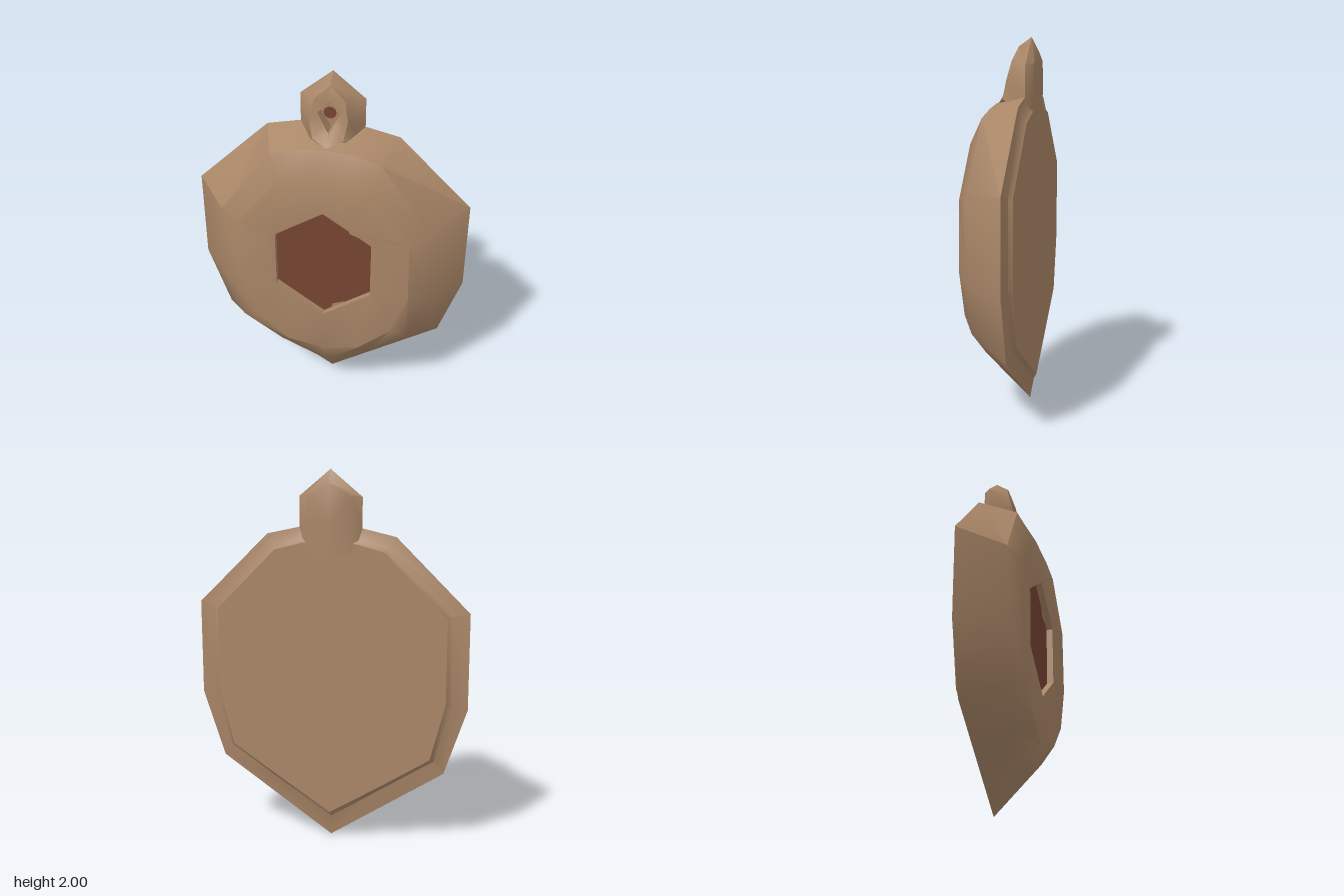
import * as THREE from 'three';
import { toCreasedNormals } from 'three/addons/utils/BufferGeometryUtils.js';

// Mirror a right-hand half contour (bottom to top) into a closed loop
const mirror = (half) => [
  ...half,
  ...half.slice(1, -1).reverse().map(([x, y, z]) => [-x, y, z]),
];
const atZ = (half, z) => half.map(([x, y]) => [x, y, z]);

// Skin a list of half contours from back to front, closing both ends with fans
function loft(halves, crease) {
  const rings = halves.map(mirror);
  const n = rings[0].length;
  const pos = rings.flat(2);
  const index = [];
  for (let r = 0; r < rings.length - 1; r++) {
    for (let i = 0; i < n; i++) {
      const a = r * n + i, b = r * n + ((i + 1) % n);
      index.push(a, b, b + n, a, b + n, a + n);
    }
  }
  [0, rings.length - 1].forEach((r) => {
    const c = pos.length / 3;
    const mean = (k) => rings[r].reduce((s, p) => s + p[k], 0) / n;
    pos.push(0, mean(1), mean(2));
    for (let i = 0; i < n; i++) {
      const a = r * n + i, b = r * n + ((i + 1) % n);
      if (r === 0) index.push(c, b, a);
      else index.push(c, a, b);
    }
  });
  const g = new THREE.BufferGeometry();
  g.setAttribute('position', new THREE.Float32BufferAttribute(pos, 3));
  g.setIndex(index);
  return toCreasedNormals(g, crease);
}

const flat = (pts) =>
  new THREE.ShapeGeometry(new THREE.Shape(pts.map(([x, y]) => new THREE.Vector2(x, y))));

export function createModel() {
  const group = new THREE.Group();
  const bronze = new THREE.MeshStandardMaterial({ color: 0xa98667 });
  bronze.name = 'bronze';
  const garnet = new THREE.MeshStandardMaterial({ color: 0x764432 });
  garnet.name = 'garnet';

  const add = (name, geometry, material, z = 0) => {
    const m = new THREE.Mesh(geometry, material);
    m.name = name;
    m.position.z = z;
    group.add(m);
  };

  // Pendant body: raised back plate, rim, sloped flank, front face, gem recess
  const plate = [[0, .14], [.28, .315], [.55, .49], [.63, .8], [.63, 1.25], [.3, 1.58], [.15, 1.62], [0, 1.63]];
  const foot = [[0, .11], [.285, .295], [.57, .48], [.65, .79], [.65, 1.26], [.31, 1.6], [.155, 1.64], [0, 1.65]];
  const rim = [[0, 0], [.31, .205], [.62, .41], [.74, .77], [.74, 1.28], [.35, 1.66], [.17, 1.7], [0, 1.72]];
  const shoulder = [[0, .2, .05], [.26, .34, .07], [.47, .51, .095], [.56, .8, .1],
    [.56, 1.24, .1], [.29, 1.6, .08], [.15, 1.635, .07], [0, 1.65, .07]];
  const face = [[0, .36, .13], [.2, .42, .15], [.38, .58, .155], [.47, .83, .158],
    [.46, 1.2, .158], [.25, 1.46, .152], [.12, 1.5, .145], [0, 1.51, .14]];
  const hex = [[0, .63], [.13, .72], [.26, .81], [.26, .95], [.26, 1.14], [.17, 1.2], [.085, 1.255], [0, 1.31]];
  add('body', loft([
    atZ(plate, -.155), atZ(foot, -.135), atZ(rim, -.12),
    shoulder, face, atZ(hex, .143), atZ(hex, .1),
  ], .6), bronze);

  // Hexagonal gem with two small chips of metal over its edge
  add('gem', flat(mirror(hex)), garnet, .108);
  add('upperChip', flat([[.12, 1.225], [.14, 1.18], [.19, 1.16], [.22, 1.165]]), bronze, .111);
  add('lowerChip', flat([[.04, .66], [.13, .72], [.1, .71], [.05, .69]]), bronze, .111);

  // Hanging loop: pointed block with a kite-shaped socket
  const loopBack = [[0, 1.55], [.12, 1.57], [.13, 1.72], [.12, 1.87], [0, 1.93]];
  const loopRim = [[0, 1.57], [.17, 1.6], [.17, 1.72], [.17, 1.86], [0, 2]];
  const loopFront = [[0, 1.65, .06], [.08, 1.68, .02], [.1, 1.78, -.005], [.08, 1.88, -.03], [0, 1.95, -.05]];
  const socket = [[0, 1.71, .005], [.03, 1.755, -.01], [.06, 1.81, -.02], [.03, 1.84, -.03], [0, 1.87, -.04]];
  add('hangingLoop', loft([
    atZ(loopBack, -.157), atZ(loopRim, -.12), loopFront, socket, atZ(socket, -.075),
  ], .9), bronze);

  // Small stud in the socket
  const stud = new THREE.CircleGeometry(.034, 10);
  stud.translate(-.005, 1.79, 0);
  add('loopStud', stud, garnet, -.068);

  return group;
}
